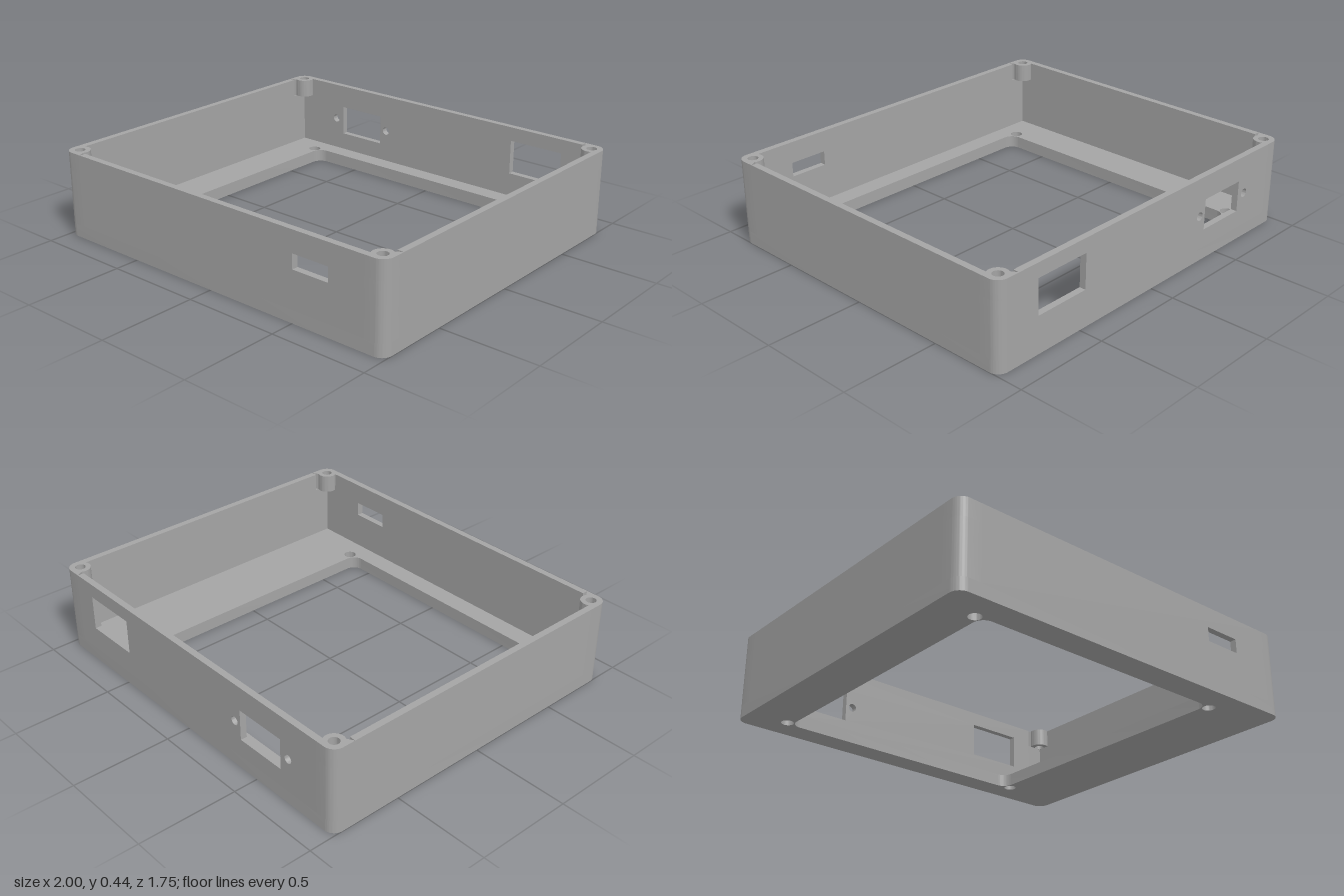
import * as THREE from 'three';
import { toCreasedNormals } from 'three/addons/utils/BufferGeometryUtils.js';

const X = 1, Z = 0.875, H = 0.44;              // outer half sizes and height
const WALL = 0.033, FLOOR = 0.065, R = 0.055;  // wall, floor, corner radius
const STUB = 0.065;                            // wall length carried by each corner piece
const POST_Y = 0.345;                          // underside of the screw posts

const grey = new THREE.MeshStandardMaterial({ color: 0xa4a4a4 });
grey.name = 'grey plastic';

function rect(path, x0, y0, x1, y1, r = 0) {
  path.moveTo(x0 + r, y0);
  path.lineTo(x1 - r, y0);
  if (r) path.absarc(x1 - r, y0 + r, r, -Math.PI / 2, 0, false);
  path.lineTo(x1, y1 - r);
  if (r) path.absarc(x1 - r, y1 - r, r, 0, Math.PI / 2, false);
  path.lineTo(x0 + r, y1);
  if (r) path.absarc(x0 + r, y1 - r, r, Math.PI / 2, Math.PI, false);
  path.lineTo(x0, y0 + r);
  if (r) path.absarc(x0 + r, y0 + r, r, Math.PI, Math.PI * 1.5, false);
  return path;
}

const circle = (x, y, r) => new THREE.Path().absarc(x, y, r, 0, Math.PI * 2, true);

function extrude(shape, depth) {
  const g = new THREE.ExtrudeGeometry(shape, { depth, bevelEnabled: false, curveSegments: 12 });
  return toCreasedNormals(g, 0.6);
}

// Extrude a plan shape upwards; plan y points to the back
const extrudeUp = (shape, y0, y1) => extrude(shape, y1 - y0).rotateX(-Math.PI / 2).translate(0, y0, 0);

// Corner plan around the post axis, outward along +x and +y
function cornerShape(withPost) {
  const inner = R - WALL, pr = 0.051;
  const s = new THREE.Shape();
  s.moveTo(-STUB, inner);
  if (withPost) {
    const a = Math.asin(inner / pr);
    s.absarc(0, 0, pr, Math.PI - a, Math.PI * 1.5 + a, false);
    s.holes.push(circle(0, 0, 0.026));
  } else {
    s.lineTo(inner, inner);
  }
  s.lineTo(inner, -STUB);
  s.lineTo(R, -STUB);
  s.lineTo(R, 0);
  s.absarc(0, 0, R, 0, Math.PI / 2, false);
  s.lineTo(-STUB, R);
  return s;
}

export function createModel() {
  const model = new THREE.Group();
  model.name = 'enclosure';
  const add = (name, geometry, parent = model) => {
    const m = new THREE.Mesh(geometry, grey);
    m.name = name;
    parent.add(m);
    return m;
  };

  // Floor with large window and four mounting holes
  const floor = rect(new THREE.Shape(), -X, -Z, X, Z, R);
  floor.holes.push(rect(new THREE.Path(), -0.768, -0.74, 0.619, 0.749, 0.055));
  for (const x of [-0.794, 0.645])
    for (const y of [-0.728, 0.735]) floor.holes.push(circle(x, y, 0.032));
  add('floor', extrudeUp(floor, 0, FLOOR));

  // Front and back walls with their port openings
  const wx = X - R - STUB, wz = Z - R - STUB;
  const front = rect(new THREE.Shape(), -wx, FLOOR, wx, H);
  front.holes.push(rect(new THREE.Path(), 0.505, 0.256, 0.705, 0.33));
  add('frontWall', extrude(front, WALL).translate(0, 0, Z - WALL));

  const back = rect(new THREE.Shape(), -wx, FLOOR, wx, H);
  back.holes.push(
    rect(new THREE.Path(), 0.467, 0.188, 0.765, 0.367),
    rect(new THREE.Path(), -0.667, 0.158, -0.395, 0.317),
    circle(-0.717, 0.24, 0.022),
    circle(-0.355, 0.24, 0.022),
  );
  add('backWall', extrude(back, WALL).translate(0, 0, -Z));

  // Plain side walls
  for (const [name, s] of [['leftWall', 1], ['rightWall', -1]]) {
    const wall = add(name, new THREE.BoxGeometry(WALL, H - FLOOR, wz * 2));
    wall.position.set(s * (X - WALL / 2), (H + FLOOR) / 2, 0);
  }

  // Rounded corners, each with a short screw post at the top
  const lower = extrudeUp(cornerShape(false), FLOOR, POST_Y);
  const upper = extrudeUp(cornerShape(true), POST_Y, H);
  [[1, -1], [-1, -1], [-1, 1], [1, 1]].forEach(([sx, sz], i) => {
    const corner = new THREE.Group();
    corner.name = 'corner';
    add('cornerWall', lower, corner);
    add('screwPost', upper, corner);
    corner.position.set(sx * (X - R), 0, sz * (Z - R));
    corner.rotation.y = i * Math.PI / 2;
    model.add(corner);
  });

  return model;
}
